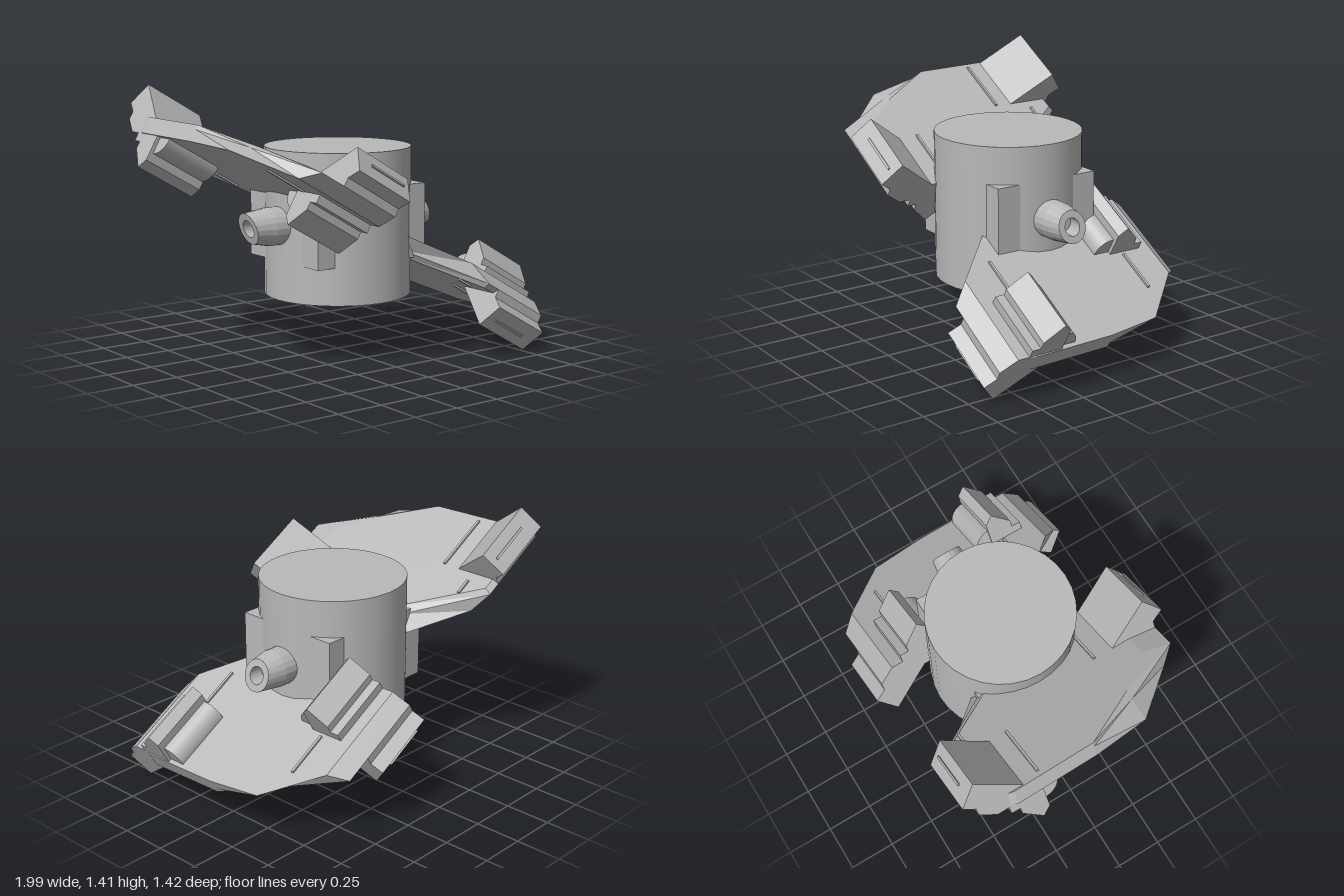
import * as THREE from 'three';

const metal = new THREE.MeshStandardMaterial({ color: 0xb8b8b8 });
metal.name = 'grey metal';

function add(parent, name, geo) {
  const m = new THREE.Mesh(geo, metal);
  m.name = name;
  parent.add(m);
}

// Reflects a geometry through the origin and keeps its faces outward
function invert(geo) {
  const g = geo.index ? geo.toNonIndexed() : geo.clone();
  g.scale(-1, -1, -1);
  for (const key of ['position', 'normal']) {
    const a = g.attributes[key];
    for (let i = 0; i < a.count; i += 3) {
      const p = new THREE.Vector3().fromBufferAttribute(a, i + 1);
      const q = new THREE.Vector3().fromBufferAttribute(a, i + 2);
      a.setXYZ(i + 1, q.x, q.y, q.z);
      a.setXYZ(i + 2, p.x, p.y, p.z);
    }
  }
  return g;
}

// Bar running along x from u0 to u1 with a [z, y] section
function bar(section, u0, u1, side) {
  const shape = new THREE.Shape(section.map(([z, y]) => new THREE.Vector2(-z * side, y)));
  return new THREE.ExtrudeGeometry(shape, { depth: u1 - u0, bevelEnabled: false })
    .rotateY(Math.PI / 2).translate(u0, 0, 0);
}

// Flat-sided plate through rings of [x, z] points at given heights, top first
function plate(rings, heights) {
  const pos = [];
  const put = (r, i) => pos.push(rings[r][i][0], heights[r], rings[r][i][1]);
  const n = rings[0].length, last = rings.length - 1;
  for (let r = 0; r < last; r++) {
    for (let i = 0; i < n; i++) {
      const j = (i + 1) % n;
      put(r, i); put(r + 1, i); put(r, j);
      put(r, j); put(r + 1, i); put(r + 1, j);
    }
  }
  for (const r of [0, last]) {
    const pts = rings[r].map(([x, z]) => new THREE.Vector2(x, z));
    for (const [a, b, c] of THREE.ShapeUtils.triangulateShape(pts, [])) {
      const p = pts[a], q = pts[b], s = pts[c];
      const ccw = (q.x - p.x) * (s.y - p.y) - (q.y - p.y) * (s.x - p.x) > 0;
      put(r, a);
      if (ccw === (r === 0)) { put(r, c); put(r, b); } else { put(r, b); put(r, c); }
    }
  }
  const g = new THREE.BufferGeometry();
  g.setAttribute('position', new THREE.Float32BufferAttribute(pos, 3));
  g.computeVertexNormals();
  return g;
}

// All pieces of one wing, in the plane of the wing
function wingParts() {
  const parts = [];
  const top = [[0.23, 0.31], [0.49, 0.565], [0.98, 0.565], [1.025, 0.45], [1.015, 0], [0.98, -0.3], [0.73, -0.565], [0.17, -0.565], [0.17, -0.35]];
  const rim = [[0.29, 0.26], [0.58, 0.65], [0.98, 0.65], [1.025, 0.45], [1.015, 0], [0.875, -0.3], [0.68, -0.65], [0.17, -0.65], [0.17, -0.35]];
  const low = [[0.32, 0.23], [0.59, 0.62], [0.98, 0.62], [1.025, 0.45], [1.015, 0], [0.834, -0.3], [0.66, -0.5], [0.17, -0.5], [0.17, -0.35]];
  parts.push(['wingPlate', plate([top, rim, low], [0.045, -0.02, -0.045])]);

  // Wing-end modules: outer one at the front, inner one at the back
  const tip = [[0.39, -0.04], [0.62, -0.225], [0.71, -0.11], [0.65, -0.065], [0.65, -0.02], [0.565, 0.045], [0.39, 0.045]];
  const block = [[0.31, 0.03], [0.31, 0.18], [0.355, 0.225], [0.45, 0.13], [0.45, 0.09], [0.5, 0.09], [0.5, 0.03]];
  const round = [[0.31, 0.03]];
  for (let i = 0; i <= 10; i++) {
    const a = (i / 10) * Math.PI / 2;
    round.push([0.31 - 0.09 * Math.sin(a), 0.045 + 0.09 * Math.cos(a)]);
  }
  round.push([0.22, 0.03]);
  const rib = [[0.66, -0.178], [0.665, -0.182], [0.673, -0.172], [0.665, -0.166]];
  for (const [u, side] of [[0.657, 1], [0.17, -1]]) {
    parts.push(['foldedTip', bar(tip, u, u + 0.36, side)]);
    parts.push(['topBlock', bar(block, u, u + 0.36, side)]);
    parts.push(['roundedHousing', bar(round, u + 0.01, u + 0.34, side)]);
    parts.push(['tipRib', bar(rib, u + 0.04, u + 0.27, side)]);
  }

  // Thin ribs on both faces: start, end, z, height
  for (const [a, b, z, y] of [
    [0.41, 0.64, 0.375, 0.045], [0.55, 0.79, -0.385, 0.045],
    [0.66, 0.99, 0.3, -0.045], [0.27, 0.53, -0.29, -0.045], [0.51, 0.6, 0.5, -0.045],
  ]) parts.push(['surfaceRib', new THREE.BoxGeometry(b - a, 0.02, 0.014).translate((a + b) / 2, y, z)]);
  return parts;
}

// Side nozzle along +x with a slanted mouth
function nozzle() {
  const profile = [[0.1, 0.34], [0.1, 0.45], [0.082, 0.565], [0.045, 0.565], [0.045, 0.49], [0, 0.49]];
  const g = new THREE.LatheGeometry(profile.map(([r, h]) => new THREE.Vector2(r, h)), 20)
    .rotateZ(-Math.PI / 2).toNonIndexed();
  const p = g.attributes.position;
  for (let i = 0; i < p.count; i++) {
    if (p.getX(i) > 0.5) p.setX(i, p.getX(i) - 0.3 * p.getY(i));
  }
  g.computeVertexNormals();
  return g;
}

export function createModel() {
  const model = new THREE.Group();
  model.name = 'craft';
  const centre = new THREE.Group();
  centre.name = 'centre';
  centre.position.y = 0.705;
  model.add(centre);

  add(centre, 'body', new THREE.CylinderGeometry(0.387, 0.387, 0.78, 32));

  const mount = new THREE.BoxGeometry(0.11, 0.39, 0.6).translate(0.293, 0, 0);
  const tilted = new THREE.Group();
  tilted.name = 'wings';
  tilted.rotation.z = -Math.PI / 6;
  centre.add(tilted);

  for (const left of [true, false]) {
    const place = (g) => (left ? g : invert(g));
    add(centre, left ? 'leftMount' : 'rightMount', place(mount));
    add(centre, left ? 'leftNozzle' : 'rightNozzle', place(nozzle()));
    const wing = new THREE.Group();
    wing.name = left ? 'leftWing' : 'rightWing';
    for (const [name, geo] of wingParts()) add(wing, name, place(geo));
    tilted.add(wing);
  }
  return model;
}
